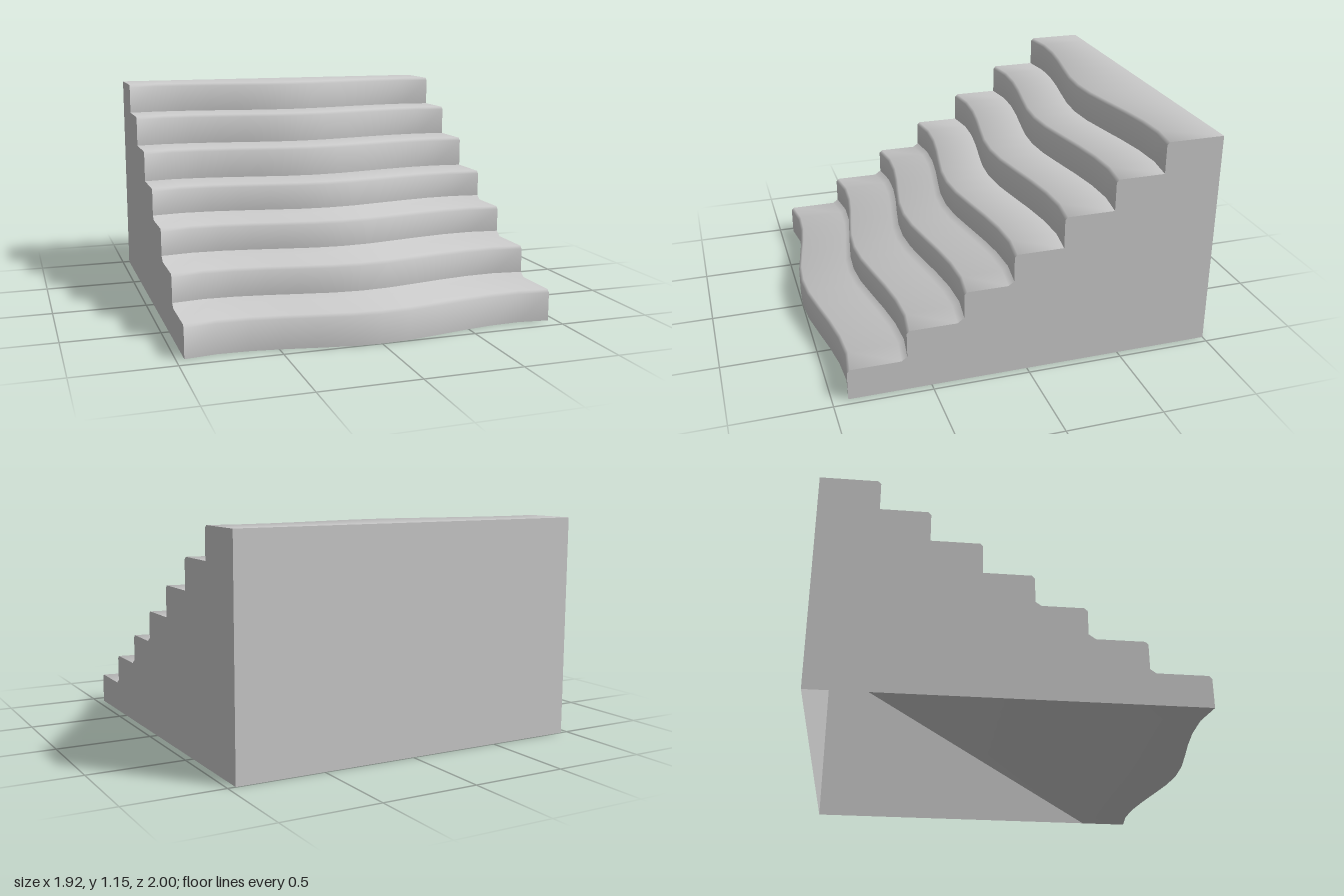
import * as THREE from 'three';
import { toCreasedNormals } from 'three/addons/utils/BufferGeometryUtils.js';

const HALF_W = 0.96, RISE = 0.165, BACK = -1;
const NOSE_Z = [1, 0.7, 0.41, 0.155, -0.1, -0.36, -0.615]; // riser positions on the centre line
const COVE = [0, 0.03, 0.035, 0.03, 0, 0, 0]; // small fillet at the foot of each riser
const HEIGHT = RISE * NOSE_Z.length;
const BEVEL = 0.015;
const SOFFIT_Z = 0.66, SOFFIT_TOP = 1.0;

// Wave of the step fronts across the width, mirrored about the centre
const WAVE = [[0, 0], [0.15, -0.01], [0.32, -0.04], [0.48, -0.07], [0.64, -0.093], [0.8, -0.1], [HALF_W, -0.079]];
const COLUMNS = [...WAVE.slice(1).reverse().map(([x, w]) => [-x, w]), ...WAVE];

// Stepped section [z, y] for one wave offset, from the front foot to the back top
function stepProfile(w) {
  const pts = [];
  NOSE_Z.forEach((z0, k) => {
    const z = z0 + w, bottom = k * RISE, top = bottom + RISE, c = COVE[k];
    if (c) pts.push([z + c, bottom], [z, bottom + c * 0.7]);
    else pts.push([z, bottom]);
    pts.push([z, top - BEVEL], [z - BEVEL, top]);
  });
  pts.push([BACK, HEIGHT]);
  return pts;
}

// Underside section: down the slope, then flat to the front edge
const soffitProfile = (w) => [[BACK, SOFFIT_TOP], [SOFFIT_Z, 0], [NOSE_Z[0] + w, 0]];

// Skin a section across all columns
function skin(profile) {
  const pos = [], index = [], n = COLUMNS.length;
  const sections = COLUMNS.map(([, w]) => profile(w));
  const rows = sections[0].length;
  for (let i = 0; i < rows; i++) {
    COLUMNS.forEach(([x], j) => pos.push(x, sections[j][i][1], sections[j][i][0]));
  }
  for (let i = 0; i < rows - 1; i++) {
    for (let j = 0; j < n - 1; j++) {
      const a = i * n + j, b = a + 1, c = b + n, d = a + n;
      index.push(a, b, c, a, c, d);
    }
  }
  const geo = new THREE.BufferGeometry();
  geo.setAttribute('position', new THREE.Float32BufferAttribute(pos, 3));
  geo.setIndex(index);
  return toCreasedNormals(geo, 0.9);
}

export function createModel() {
  const group = new THREE.Group();
  group.name = 'wavyStairs';
  const material = new THREE.MeshStandardMaterial({ color: 0xcccccc, side: THREE.DoubleSide });
  const add = (name, geo) => {
    const mesh = new THREE.Mesh(geo, material);
    mesh.name = name;
    group.add(mesh);
    return mesh;
  };

  add('steps', skin(stepProfile));
  add('soffit', skin(soffitProfile));

  // Side walls follow the stepped section at the outer edges
  const edge = stepProfile(WAVE[WAVE.length - 1][1]);
  const outline = [...edge, [BACK, 0]].map(([z, y]) => new THREE.Vector2(-z, y));
  for (const side of [1, -1]) {
    const wall = new THREE.ShapeGeometry(new THREE.Shape(outline));
    wall.rotateY(Math.PI / 2);
    wall.translate(side * HALF_W, 0, 0);
    if (side < 0) {
      // turn the far wall outwards
      const idx = wall.index.array;
      for (let i = 0; i < idx.length; i += 3) [idx[i], idx[i + 1]] = [idx[i + 1], idx[i]];
      wall.computeVertexNormals();
    }
    add(side > 0 ? 'leftWall' : 'rightWall', wall);
  }

  // Back wall
  const back = new THREE.PlaneGeometry(2 * HALF_W, HEIGHT);
  back.rotateY(Math.PI);
  back.translate(0, HEIGHT / 2, BACK);
  add('backWall', back);

  return group;
}
